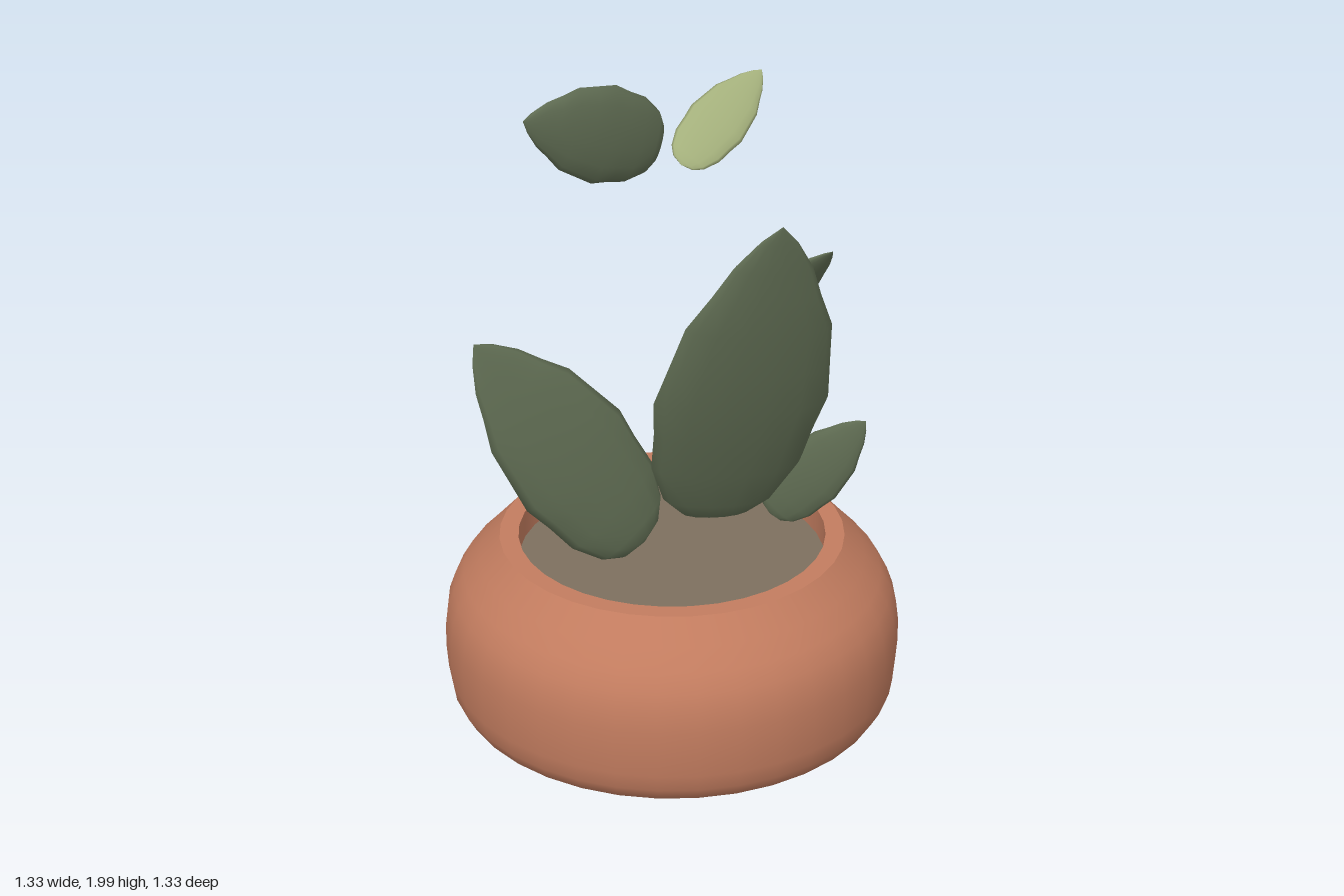
import * as THREE from 'three';

const V = (x, y, z) => new THREE.Vector3(x, y, z);

const mat = (name, color) => {
  const m = new THREE.MeshStandardMaterial({ color });
  m.name = name;
  return m;
};

// Leaf outline: [position along the leaf, share of the full width]
const OUTLINE = [
  [0, 0], [0.025, 0.4], [0.08, 0.68], [0.2, 0.87], [0.32, 0.97], [0.43, 1], [0.55, 0.96],
  [0.68, 0.82], [0.78, 0.64], [0.87, 0.44], [0.95, 0.22], [1, 0],
];
const SIDES = 14;

// Flattened, pointed leaf from base to tip; side is the direction of its width
function leafGeometry(base, tip, side, halfWidth, halfThick) {
  const axis = tip.clone().sub(base).normalize();
  const u = side.clone().addScaledVector(axis, -side.dot(axis)).normalize();
  const n = axis.clone().cross(u);
  const pos = [], index = [];
  OUTLINE.forEach(([t, w], i) => {
    const ripple = 1 + 0.025 * (i % 2 ? 1 : -1);
    for (let j = 0; j < SIDES; j++) {
      const a = (j / SIDES) * Math.PI * 2;
      const p = base.clone().lerp(tip, t)
        .addScaledVector(u, Math.cos(a) * halfWidth * w * ripple)
        .addScaledVector(n, Math.sin(a) * halfThick * w);
      pos.push(p.x, p.y, p.z);
      if (i === OUTLINE.length - 1) continue;
      const k = i * SIDES + j, l = i * SIDES + (j + 1) % SIDES;
      if (i > 0) index.push(k, l, k + SIDES);
      if (i < OUTLINE.length - 2 || i === 0) index.push(l, l + SIDES, k + SIDES);
    }
  });
  const g = new THREE.BufferGeometry();
  g.setAttribute('position', new THREE.Float32BufferAttribute(pos, 3));
  g.setIndex(index);
  g.computeVertexNormals();
  return g;
}

export function createModel() {
  const group = new THREE.Group();
  const clay = mat('terracotta', 0xc27c5f);
  const earth = mat('soil', 0x7d6f5e);
  const green = mat('leaf green', 0x616e54);
  const olive = mat('pale leaf', 0xa3af7b);

  const add = (name, geometry, material) => {
    const m = new THREE.Mesh(geometry, material);
    m.name = name;
    group.add(m);
  };
  const lathe = (pts) => new THREE.LatheGeometry(pts.map(([x, y]) => new THREE.Vector2(x, y)), 36);

  // Pot, separate surfaces keep the rim and foot edges sharp
  add('potBody', lathe([
    [0.52, 0], [0.58, 0.025], [0.63, 0.05], [0.652, 0.09], [0.66, 0.14], [0.665, 0.21], [0.664, 0.28],
    [0.656, 0.34], [0.638, 0.39], [0.608, 0.44], [0.56, 0.49], [0.5, 0.555],
  ]), clay);
  add('potBottom', lathe([[0, 0], [0.52, 0]]), clay);
  add('potRim', lathe([[0.5, 0.555], [0.445, 0.555]]), clay);
  add('potInnerWall', lathe([[0.445, 0.555], [0.445, 0.46]]), clay);
  add('soil', lathe([[0.445, 0.475], [0, 0.475]]), earth);

  // Leaves: name, base, tip, width direction, half width, half thickness, material
  const leaves = [
    ['tallLeaf', V(0.1, 0.62, 0.08), V(0.17, 1.65, 0.445), V(1, 0, 0.05), 0.245, 0.065, green],
    ['rightLeaf', V(-0.1, 0.56, 0.06), V(-0.59, 1.27, 0.115), V(0.76, 0.54, -0.3), 0.19, 0.05, green],
    ['leftLeaf', V(0.27, 0.61, 0.085), V(0.485, 0.965, 0.27), V(0.6, -0.62, 0.5), 0.095, 0.026, green],
    ['upperLeaf', V(0.155, 1.23, 0.11), V(0.35, 1.515, 0.33), V(0.88, -0.39, -0.3), 0.085, 0.026, green],
    ['topLeaf', V(-0.05, 1.77, 0.07), V(-0.475, 1.945, 0.275), V(0.32, 0.93, -0.16), 0.13, 0.035, green],
    ['paleLeaf', V(0.05, 1.645, -0.08), V(0.345, 1.83, -0.275), V(0.69, -0.5, 0.5), 0.085, 0.02, olive],
    ['smallPaleLeaf', V(0.312, 1.365, -0.045), V(0.42, 1.315, -0.165), V(0.2, 0.95, -0.2), 0.052, 0.015, olive],
  ];
  for (const [name, base, tip, side, w, t, material] of leaves) {
    add(name, leafGeometry(base, tip, side, w, t), material);
  }
  return group;
}
